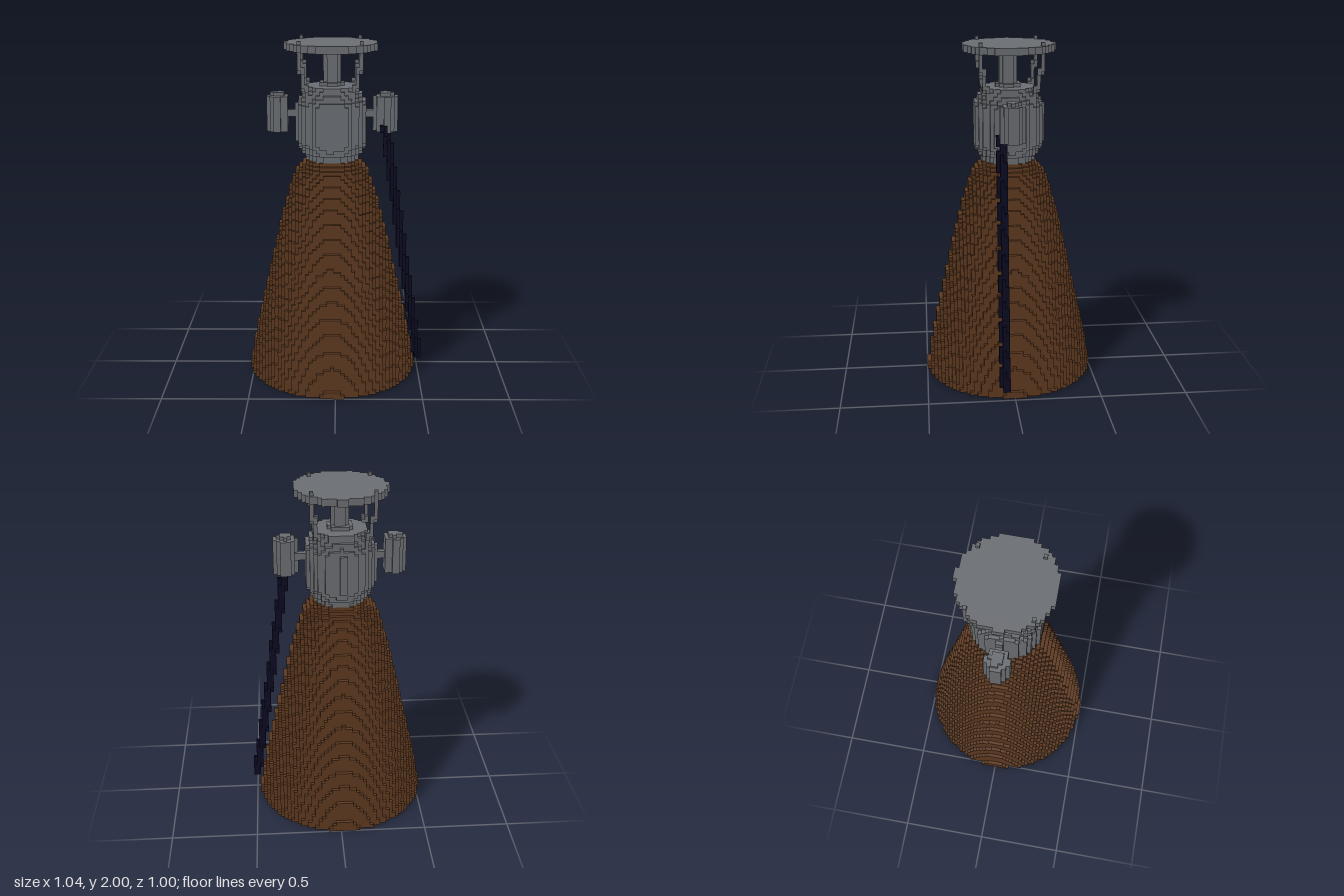
import * as THREE from 'three';

const S = 2 / 98;              // cube size
const C = 23.95;               // engine axis, in cells
const NX = 51, NY = 98, NZ = 49;

// Six cube sides: outward direction and corners in counter-clockwise order
const SIDES = [
  [[1, 0, 0], [[1, 0, 0], [1, 1, 0], [1, 1, 1], [1, 0, 1]]],
  [[-1, 0, 0], [[0, 0, 0], [0, 0, 1], [0, 1, 1], [0, 1, 0]]],
  [[0, 1, 0], [[0, 1, 0], [0, 1, 1], [1, 1, 1], [1, 1, 0]]],
  [[0, -1, 0], [[0, 0, 0], [1, 0, 0], [1, 0, 1], [0, 0, 1]]],
  [[0, 0, 1], [[0, 0, 1], [1, 0, 1], [1, 1, 1], [0, 1, 1]]],
  [[0, 0, -1], [[0, 0, 0], [0, 1, 0], [1, 1, 0], [1, 0, 0]]],
];

// Linear interpolation through [row, radius] points
function profile(points, y) {
  for (let n = 1; n < points.length; n++) {
    const [y0, r0] = points[n - 1], [y1, r1] = points[n];
    if (y <= y1) return r0 + (r1 - r0) * (y - y0) / (y1 - y0);
  }
  return points[points.length - 1][1];
}

const BELL = [[0, 24.33], [3, 23.9], [9, 22.9], [20, 20.5], [29, 18.4], [39, 16.2],
  [49, 13.8], [57, 11.4], [60, 10.3], [62, 8.9], [63, 7.9]];
const BODY = [[64, 7.5], [65, 7.6], [66, 8.7], [67, 9.1], [68, 9.6], [69, 10], [79, 10],
  [80, 9.7], [81, 9], [82, 8.5], [83, 7.9], [84, 7.6], [85, 3.6]];

export function createModel() {
  const cells = new Map();
  const key = (i, j, k) => (j * NZ + k) * NX + i;
  const put = (part, i, j, k) => {
    if (i < 0 || j < 0 || k < 0 || i >= NX || j >= NY || k >= NZ) return;
    if (!cells.has(key(i, j, k))) cells.set(key(i, j, k), part);
  };

  // One horizontal ring or disc of cubes
  const disc = (part, j, cx, cz, r, inner = -1) => {
    for (let i = Math.floor(cx - r); i <= cx + r + 1; i++)
      for (let k = Math.floor(cz - r); k <= cz + r + 1; k++) {
        const d = Math.hypot(i - cx, k - cz);
        if (d <= r && d > inner) put(part, i, j, k);
      }
  };
  const column = (part, j0, j1, cx, cz, r) => {
    for (let j = j0; j <= j1; j++) disc(part, j, cx, cz, r);
  };

  // Hollow bell with a dark lining
  for (let j = 0; j < 64; j++) {
    const r = profile(BELL, j);
    disc('bell', j, C, C, r, r - 2);
    disc('bellLining', j, C, C, r - 2, j > 60 ? -1 : r - 3.3);
  }

  // Rounded engine body, neck and mounting plate
  for (let j = 64; j <= 85; j++) disc('engineBody', j, C, C, profile(BODY, j));
  column('neck', 86, 94, C, C, 2.5);
  column('mountingPlate', 95, 96, C, C, 13);

  // Side pumps with caps and brackets
  for (const side of [-1, 1]) {
    const x = C + side * 15.2;
    column('sidePump', 72, 81, x, C, 3.2);
    column('pumpCap', 82, 82, x, C, 2);
    for (let d = 9; d <= 12; d++)
      for (const j of [76, 77]) for (const k of [23, 24])
        put('pumpBracket', Math.round(C + side * d), j, k);
  }

  // Four slanted struts whose tips poke through the plate
  for (const sx of [-1, 1]) for (const sz of [-1, 1]) {
    for (let j = 80; j <= 97; j++) {
      const spread = 6 + 2.5 * Math.min(1, (j - 80) / 12);
      const x = 23.5 + sx * spread, z = 23.5 + sz * spread;
      if (j > 92) put('strut', Math.round(x), j, Math.round(z));
      else disc('strut', j, x, z, 0.75);
    }
  }

  // Long dark exhaust pipe leaning outwards
  for (let j = 3; j <= 73; j++)
    disc('exhaustPipe', j, 39 + 10.5 * (73 - j) / 70, 26.8, 1.27);

  // Gather the exposed cube sides of each part
  const parts = new Map();
  for (const [id, part] of cells) {
    const i = id % NX, k = Math.floor(id / NX) % NZ, j = Math.floor(id / (NX * NZ));
    if (!parts.has(part)) parts.set(part, { pos: [], nor: [], idx: [] });
    const { pos, nor, idx } = parts.get(part);
    for (const [d, corners] of SIDES) {
      const a = i + d[0], b = j + d[1], c = k + d[2];
      const inside = a >= 0 && b >= 0 && c >= 0 && a < NX && b < NY && c < NZ;
      if (inside && cells.has(key(a, b, c))) continue;
      const v = pos.length / 3;
      for (const [x, y, z] of corners) {
        pos.push((i + x - NX / 2) * S, (j + y) * S, (k + z - NZ / 2) * S);
        nor.push(...d);
      }
      idx.push(v, v + 1, v + 2, v, v + 2, v + 3);
    }
  }

  const material = (name, color) => {
    const m = new THREE.MeshStandardMaterial({ color });
    m.name = name;
    return m;
  };
  const brown = material('copper brown', 0x5e3a20);
  const grey = material('steel grey', 0x6b6e73);
  const navy = material('dark navy', 0x0b0b22);
  const colours = { bell: brown, bellLining: navy, exhaustPipe: navy };

  const group = new THREE.Group();
  group.name = 'rocketEngine';
  for (const [name, { pos, nor, idx }] of parts) {
    const geometry = new THREE.BufferGeometry();
    geometry.setAttribute('position', new THREE.Float32BufferAttribute(pos, 3));
    geometry.setAttribute('normal', new THREE.Float32BufferAttribute(nor, 3));
    geometry.setIndex(idx);
    const mesh = new THREE.Mesh(geometry, colours[name] || grey);
    mesh.name = name;
    group.add(mesh);
  }
  return group;
}
